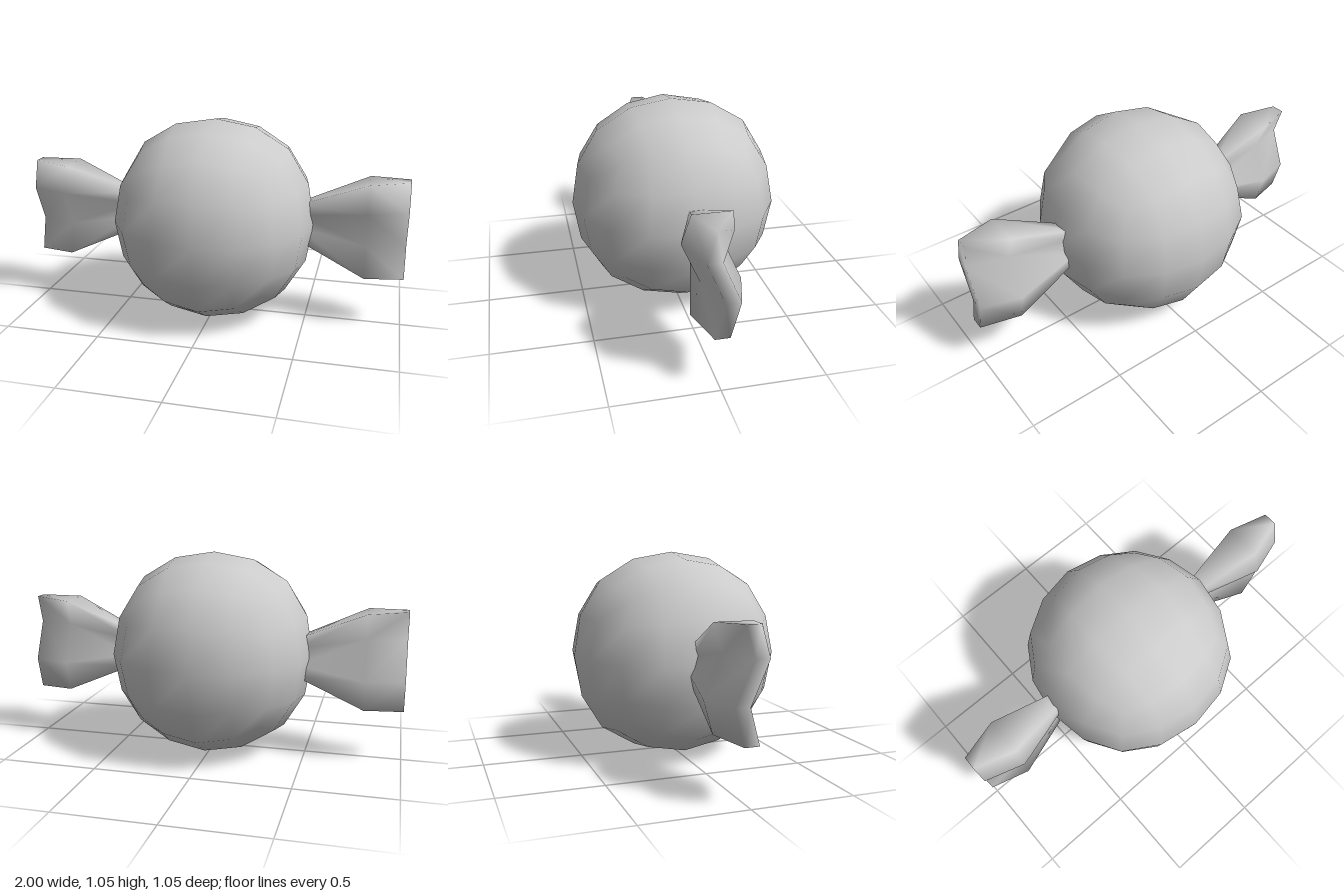
import * as THREE from 'three';
import { mergeVertices } from 'three/addons/utils/BufferGeometryUtils.js';

const CENTER_Y = 0.527;
const material = () => new THREE.MeshStandardMaterial({ color: 0xcccccc });

// Twice-subdivided cube: each grid point of a 4x4 face moves to its rounded place.
// Keys are the two smaller grid coordinates in half steps; values are sorted small to large.
const ROUNDED = {
  '00': [0, 0, 0.878],
  '01': [0, 0.3505, 0.8195],
  '02': [0, 0.643, 0.643],
  '11': [0.326, 0.326, 0.764],
  '12': [0.302, 0.599, 0.599],
  '22': [0.509, 0.509, 0.509],
};

function roundedCube(scale) {
  let geometry = new THREE.BoxGeometry(2, 2, 2, 4, 4, 4);
  geometry.deleteAttribute('normal');
  geometry.deleteAttribute('uv');
  geometry = mergeVertices(geometry);
  const pos = geometry.attributes.position;
  for (let i = 0; i < pos.count; i++) {
    const p = [pos.getX(i), pos.getY(i), pos.getZ(i)];
    const order = [0, 1, 2].sort((a, b) => Math.abs(p[a]) - Math.abs(p[b]));
    const key = order.slice(0, 2).map((k) => Math.round(Math.abs(p[k]) * 2)).join('');
    const out = [0, 0, 0];
    order.forEach((k, n) => { out[k] = Math.sign(p[k]) * ROUNDED[key][n] * scale; });
    pos.setXYZ(i, ...out);
  }
  geometry.computeVertexNormals();
  return geometry;
}

// Zigzag sections of a twisted end: height and middle z of four rows, and half thickness
const SECTIONS = [
  { x: 0.45, half: 0.033, y: [0.1, 0.045, -0.035, -0.1], z: [-0.02, -0.015, -0.04, -0.025] },
  { x: 0.8, half: 0.094, y: [0.248, 0.112, -0.087, -0.246], z: [0, 0.045, -0.045, 0] },
  { x: 1, half: 0.035, y: [0.258, 0.112, -0.087, -0.256], z: [0, 0.042, -0.045, 0] },
];

function wrapperEnd(side) {
  const rows = 4, ring = rows * 2, points = [], index = [];
  for (const s of SECTIONS) {
    for (let i = 0; i < ring; i++) {
      const front = i < rows;
      const r = front ? i : ring - 1 - i;
      points.push(side * s.x, s.y[r], s.z[r] + (front ? s.half : -s.half));
    }
  }
  const quad = (a, b, c, d) => {
    if (side > 0) index.push(a, b, c, a, c, d);
    else index.push(a, c, b, a, d, c);
  };
  // Skin between sections
  for (let s = 0; s < SECTIONS.length - 1; s++) {
    for (let i = 0; i < ring; i++) {
      const a = s * ring + i, b = s * ring + ((i + 1) % ring);
      quad(a, b, b + ring, a + ring);
    }
  }
  // Outer cap
  const o = (SECTIONS.length - 1) * ring;
  for (let r = 0; r < rows - 1; r++) quad(o + r, o + r + 1, o + ring - 2 - r, o + ring - 1 - r);

  const geometry = new THREE.BufferGeometry();
  geometry.setAttribute('position', new THREE.Float32BufferAttribute(points, 3));
  geometry.setIndex(index);
  geometry.computeVertexNormals();
  return geometry;
}

export function createModel() {
  const group = new THREE.Group();
  group.name = 'wrappedCandy';
  const add = (name, geometry) => {
    const mesh = new THREE.Mesh(geometry, material());
    mesh.name = name;
    mesh.position.y = CENTER_Y;
    group.add(mesh);
  };
  add('candyBall', roundedCube(0.6));
  add('leftWrapperEnd', wrapperEnd(1));
  add('rightWrapperEnd', wrapperEnd(-1));
  return group;
}
